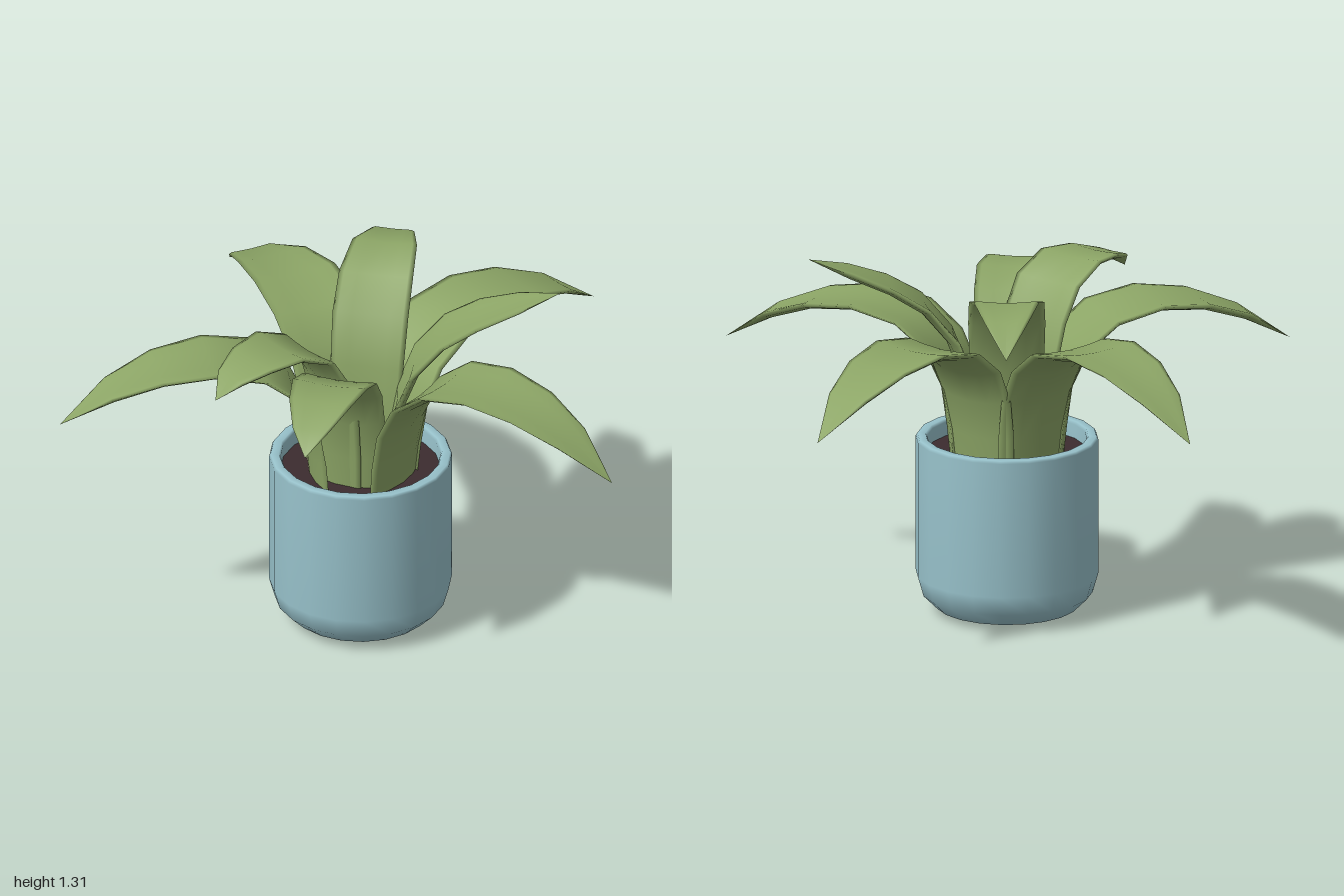
import * as THREE from 'three';

const mat = (name, color, side = THREE.FrontSide) => {
  const m = new THREE.MeshStandardMaterial({ color, side });
  m.name = name;
  return m;
};

// Rows are [distance from the plant's axis, height, half width], root to tip.
const LONG = [[0.16, 0.52, 0.14], [0.175, 0.68, 0.15], [0.2, 0.82, 0.155], [0.26, 0.94, 0.16], [0.37, 1.025, 0.165],
  [0.54, 1.06, 0.155], [0.72, 1.04, 0.13], [0.89, 0.98, 0.085], [1.07, 0.87, 0]];
const LOW = [[0.12, 0.52, 0.11], [0.13, 0.7, 0.12], [0.15, 0.85, 0.125], [0.2, 0.98, 0.13], [0.28, 1.07, 0.135],
  [0.4, 1.115, 0.135], [0.52, 1.115, 0.112], [0.64, 1.08, 0.065], [0.72, 1.02, 0]];
const MIDDLE = [[0.11, 0.52, 0.11], [0.12, 0.7, 0.12], [0.14, 0.88, 0.13], [0.18, 1.02, 0.137], [0.25, 1.13, 0.14],
  [0.37, 1.185, 0.135], [0.49, 1.18, 0.112], [0.59, 1.155, 0.068], [0.665, 1.1, 0]];
const HIGH = [[0.1, 0.52, 0.11], [0.11, 0.72, 0.12], [0.13, 0.92, 0.13], [0.19, 1.09, 0.135], [0.28, 1.19, 0.132],
  [0.42, 1.235, 0.115], [0.56, 1.21, 0.075], [0.68, 1.12, 0]];
const UPRIGHT = [[0.1, 0.52, 0.1], [0.115, 0.7, 0.115], [0.145, 0.86, 0.125], [0.2, 1.0, 0.13], [0.3, 1.12, 0.13],
  [0.42, 1.195, 0.115], [0.56, 1.255, 0.075], [0.7, 1.31, 0]];

// Lens-shaped, slightly channelled cross-sections joined along the arching midrib.
function leafGeometry(rows) {
  const sides = 12, pos = [], index = [];
  rows.forEach(([r, y, w], i) => {
    const a = rows[Math.max(i - 1, 0)], b = rows[Math.min(i + 1, rows.length - 1)];
    const len = Math.hypot(b[0] - a[0], b[1] - a[1]);
    const nr = -(b[1] - a[1]) / len, ny = (b[0] - a[0]) / len;
    const thick = Math.min(0.016, w * 0.2);
    for (let j = 0; j < sides; j++) {
      const t = (j / sides) * Math.PI * 2, s = Math.cos(t);
      const n = w * 0.17 * s * s + thick * Math.sin(t);
      pos.push(r + nr * n, y + ny * n, w * s);
    }
  });
  for (let i = 0; i < rows.length - 1; i++) {
    for (let j = 0; j < sides; j++) {
      const k = (j + 1) % sides;
      const a = i * sides + j, b = i * sides + k, c = a + sides, d = b + sides;
      index.push(a, c, b, b, c, d);
    }
  }
  const g = new THREE.BufferGeometry();
  g.setAttribute('position', new THREE.Float32BufferAttribute(pos, 3));
  g.setIndex(index);
  g.computeVertexNormals();
  return g;
}

export function createModel() {
  const model = new THREE.Group();
  model.name = 'pottedPlant';
  const plant = new THREE.Group();
  plant.name = 'plantAndPot';
  plant.position.set(-0.08, 0, 0.14);
  model.add(plant);

  const potBlue = mat('potBlue', 0x98c2cb);
  const soilBrown = mat('soilBrown', 0x3c2c2f);
  const leafGreen = mat('leafGreen', 0x8ca566, THREE.DoubleSide);

  // Pot with rounded foot, narrow rim and hollow top
  const profile = [[0, 0], [0.18, 0], [0.25, 0.02], [0.3, 0.07], [0.32, 0.14], [0.32, 0.63], [0.314, 0.64],
    [0.286, 0.64], [0.28, 0.63], [0.28, 0.54]].map(([x, y]) => new THREE.Vector2(x, y));
  const pot = new THREE.Mesh(new THREE.LatheGeometry(profile, 20), potBlue);
  pot.name = 'pot';
  plant.add(pot);

  // Soil
  const soil = new THREE.Mesh(new THREE.CylinderGeometry(0.281, 0.281, 0.03, 20), soilBrown);
  soil.name = 'soil';
  soil.position.y = 0.565;
  plant.add(soil);

  // Leaves: four long outer ones, then shorter and steeper inner ones
  const leaves = [
    ['longLeaf', LONG, 1], ['longLeaf', LONG, -74], ['longLeaf', LONG, -149], ['longLeaf', LONG, 135.5],
    ['lowLeaf', LOW, 72], ['middleLeaf', MIDDLE, 106], ['highLeaf', HIGH, -112], ['uprightLeaf', UPRIGHT, -30],
  ];
  leaves.forEach(([name, rows, degrees], i) => {
    const leaf = new THREE.Mesh(leafGeometry(rows), leafGreen);
    leaf.name = `${name}${i + 1}`;
    leaf.rotation.y = -THREE.MathUtils.degToRad(degrees);
    plant.add(leaf);
  });
  return model;
}
